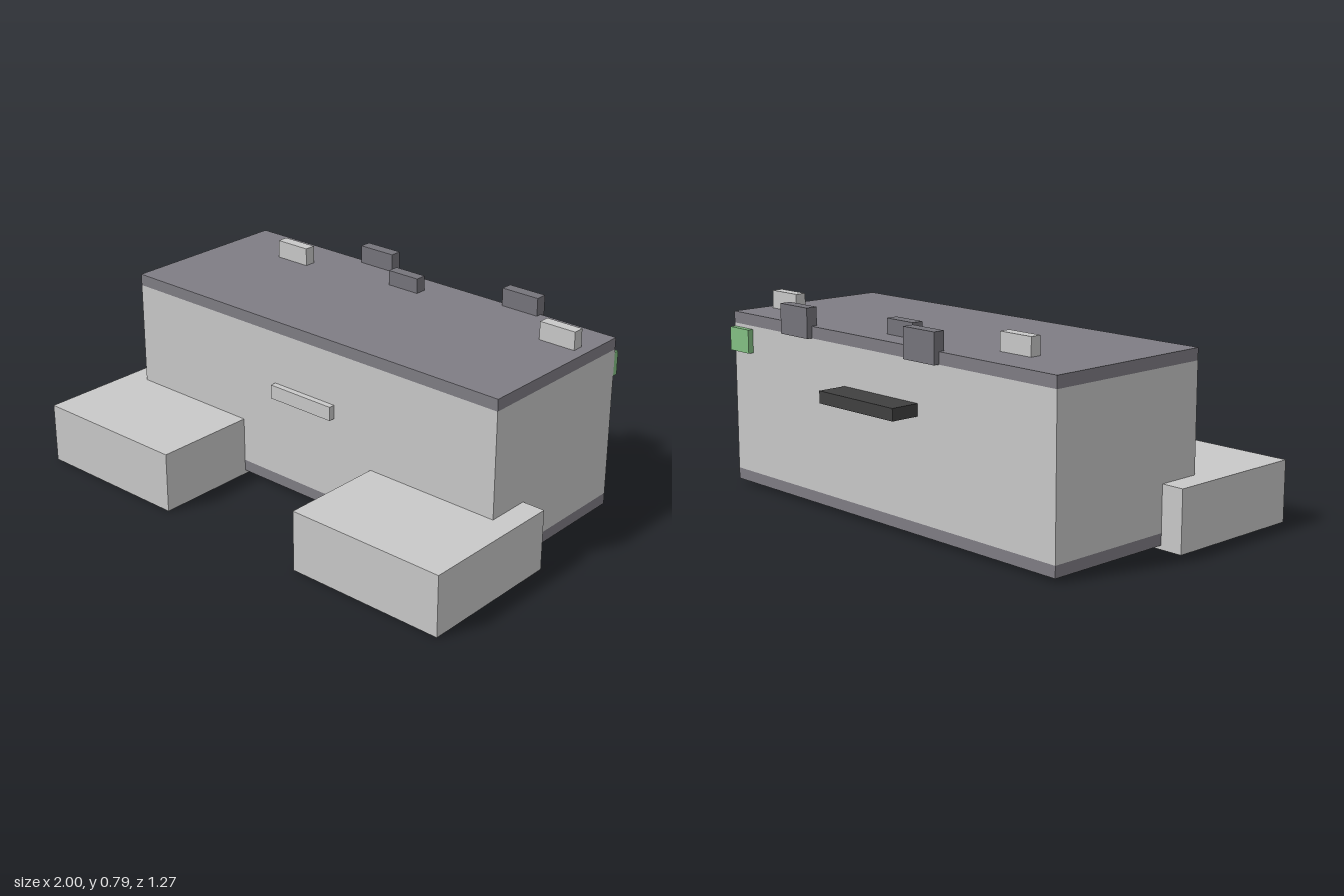
import * as THREE from 'three';

const paint = (name, color) => {
  const m = new THREE.MeshStandardMaterial({ color });
  m.name = name;
  return m;
};

export function createModel() {
  const lightGrey = paint('light grey', 0xc9c9c9);
  const slate = paint('slate grey', 0x7f7d84);
  const darkSlate = paint('dark slate grey', 0x75747b);
  const black = paint('black', 0x404040);
  const green = paint('green', 0x84c084);

  const model = new THREE.Group();
  model.name = 'chest';

  // Box given by its extents along each axis
  const box = (name, material, [x0, x1], [y0, y1], [z0, z1]) => {
    const mesh = new THREE.Mesh(new THREE.BoxGeometry(x1 - x0, y1 - y0, z1 - z0), material);
    mesh.position.set((x0 + x1) / 2, (y0 + y1) / 2, (z0 + z1) / 2);
    mesh.name = name;
    model.add(mesh);
  };

  // Main body between a base plate and a lid plate
  const width = [-0.907, 0.907], depth = [-0.516, 0.212];
  box('basePlate', slate, width, [0.016, 0.062], depth);
  box('body', lightGrey, width, [0.062, 0.67], depth);
  box('lid', slate, width, [0.67, 0.717], depth);

  // Front feet
  box('leftFoot', lightGrey, [0.333, 1], [0, 0.245], [0.032, 0.636]);
  box('rightFoot', lightGrey, [-1, -0.333], [0, 0.245], [0.032, 0.636]);

  // Front plate and rear ledge
  box('frontPlate', lightGrey, [-0.155, 0.15], [0.4, 0.457], [0.212, 0.237]);
  box('rearLedge', black, [-0.212, 0.207], [0.463, 0.511], [-0.636, -0.516]);

  // Tabs standing on the lid
  for (const x of [-0.55, 0.783]) {
    box('lidTab', lightGrey, [x - 0.078, x + 0.078], [0.717, 0.79], [-0.356, -0.31]);
  }
  box('centreTab', darkSlate, [-0.076, 0.07], [0.717, 0.778], [-0.417, -0.37]);

  // Rear hinges overlapping the lid edge
  for (const x of [-0.245, 0.482]) {
    box('hinge', darkSlate, [x - 0.083, x + 0.083], [0.67, 0.79], [-0.539, -0.491]);
  }

  // Small marker on the back corner
  box('rearMarker', green, [0.785, 0.907], [0.56, 0.656], [-0.539, -0.516]);

  return model;
}
